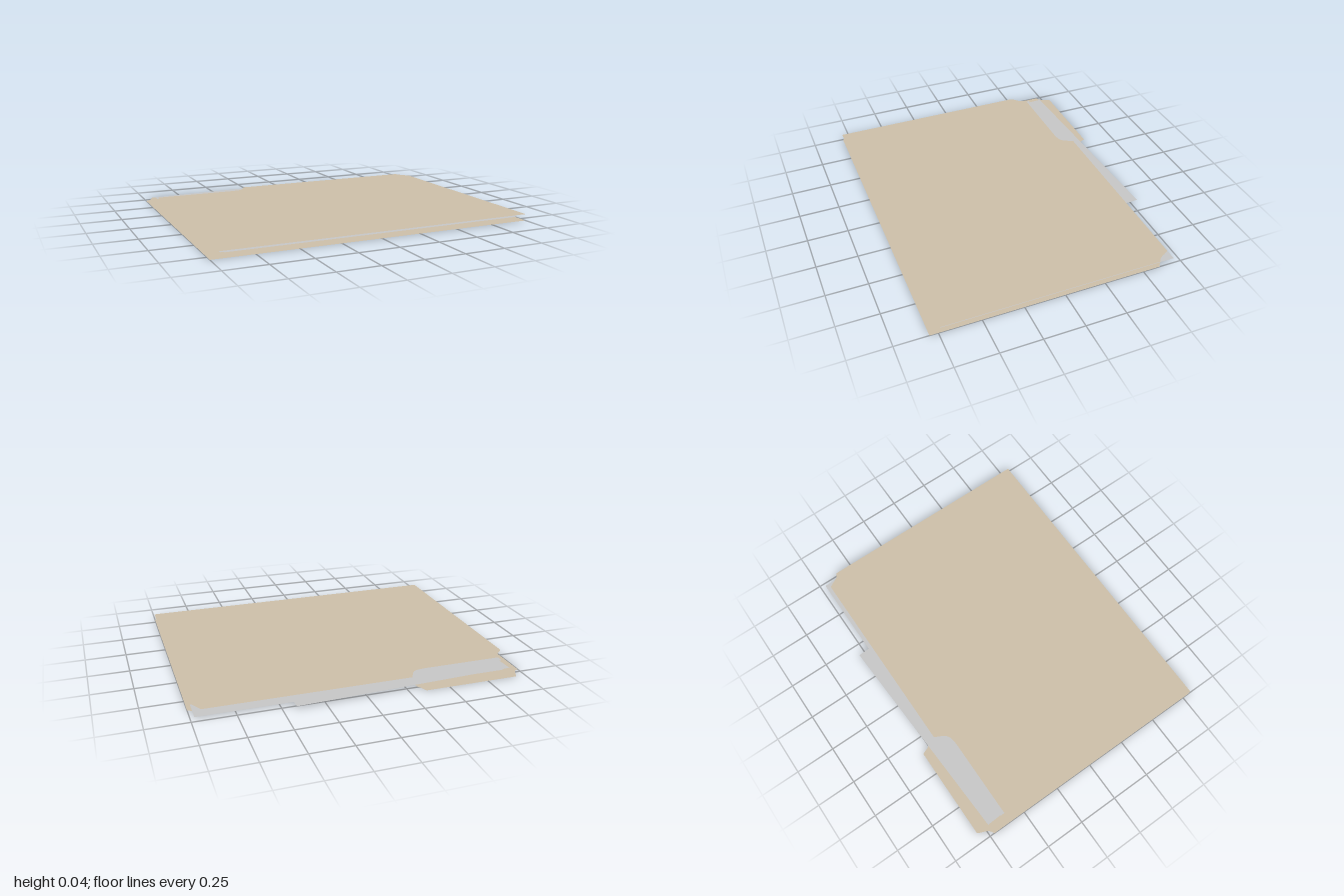
import * as THREE from 'three';

const card = new THREE.MeshStandardMaterial({ color: 0xcfc1aa, side: THREE.DoubleSide });
card.name = 'manila card';
const paper = new THREE.MeshStandardMaterial({ color: 0xc8c8c8, side: THREE.DoubleSide });
paper.name = 'paper';

// Lays a flat outline on the horizontal plane; shape y runs towards the back (-z)
function sheet(name, shape, material, height) {
  const geometry = new THREE.ShapeGeometry(shape, 8);
  geometry.rotateX(-Math.PI / 2);
  const mesh = new THREE.Mesh(geometry, material);
  mesh.name = name;
  mesh.position.y = height;
  return mesh;
}

// Rectangle hung from its back left corner, turned by an angle
function page(left, back, width, depth, angle = 0) {
  const c = Math.cos(angle), s = Math.sin(angle);
  const corners = [[0, 0], [0, -depth], [width, -depth], [width, 0]];
  return new THREE.Shape(corners.map(([x, y]) =>
    new THREE.Vector2(left + x * c - y * s, back + x * s + y * c)));
}

// Folder leaf: shared front, right shoulder and back edge
function leaf() {
  const s = new THREE.Shape();
  s.moveTo(-1, -0.8);
  s.lineTo(1, -0.8);
  s.lineTo(1, 0.61);
  s.bezierCurveTo(0.96, 0.63, 0.97, 0.64, 0.935, 0.695);
  s.lineTo(-0.31, 0.695);
  return s;
}

export function createModel() {
  const group = new THREE.Group();
  group.name = 'fileFolder';

  // Back leaf with its raised tab
  const back = leaf();
  back.lineTo(-0.325, 0.752);
  back.bezierCurveTo(-0.338, 0.757, -0.34, 0.785, -0.352, 0.805);
  back.lineTo(-0.94, 0.805);
  back.bezierCurveTo(-0.965, 0.755, -0.96, 0.735, -1, 0.72);
  back.closePath();
  group.add(sheet('backLeaf', back, card, 0));

  // Front leaf, cut lower beside the tab
  const front = leaf();
  front.bezierCurveTo(-0.35, 0.615, -0.35, 0.61, -0.43, 0.605);
  front.lineTo(-0.94, 0.605);
  front.bezierCurveTo(-0.945, 0.53, -0.985, 0.545, -1, 0.505);
  front.closePath();
  group.add(sheet('frontLeaf', front, card, 0.04));

  // Loose papers between the leaves
  group.add(sheet('lowerPaper', page(-0.9, 0.717, 1.877, 1.45), paper, 0.01));
  group.add(sheet('tiltedPaper', page(-0.94, 0.723, 1.365, 1.4, 0.049), paper, 0.02));
  group.add(sheet('upperPaper', page(-0.94, 0.63, 1.88, 1.42), paper, 0.03));

  return group;
}
